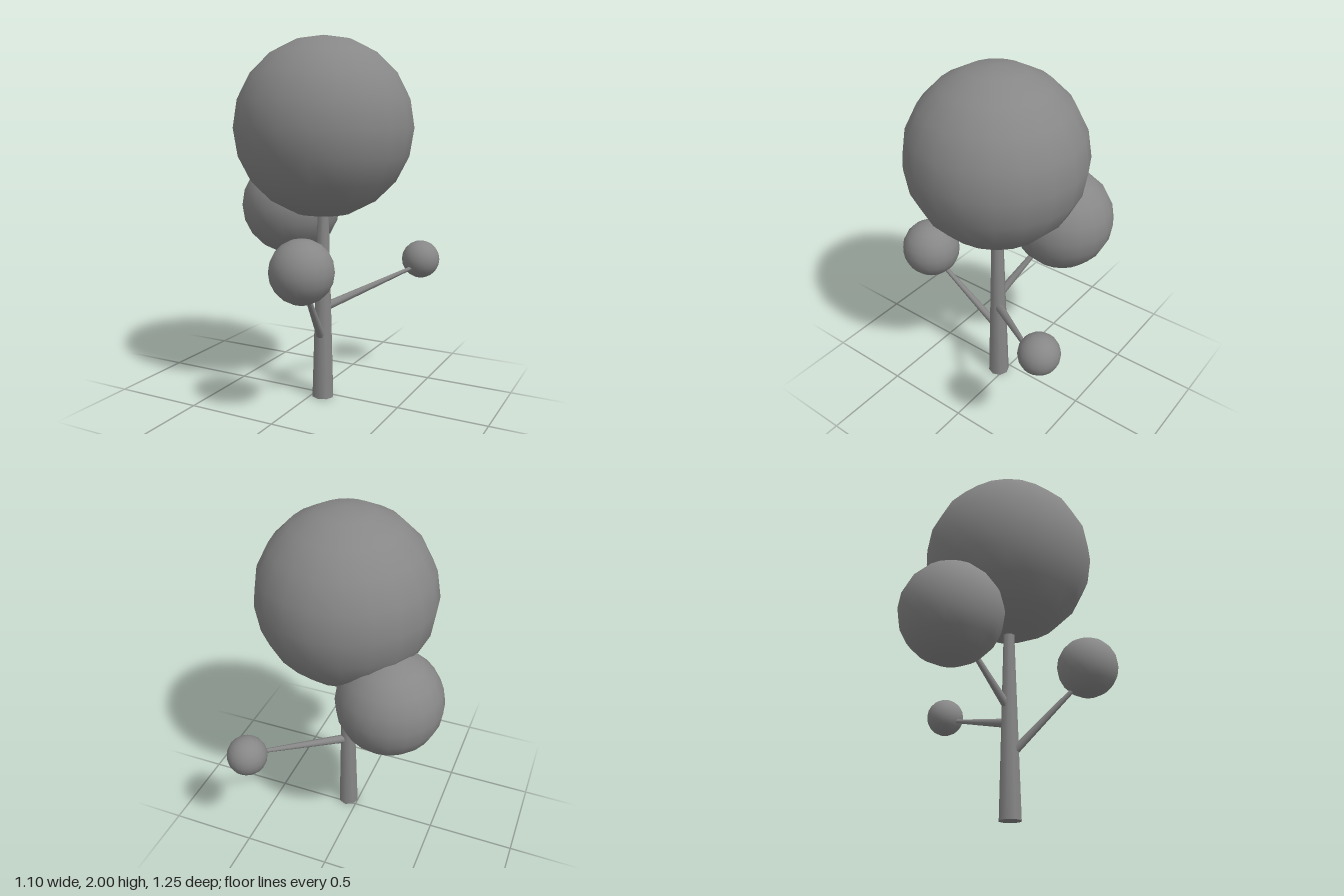
import * as THREE from 'three';

const material = new THREE.MeshStandardMaterial({ color: 0x878787 });
const vec = (p) => new THREE.Vector3(...p);

// Tapered limb running from one point to another
function limb(name, from, to, r0, r1) {
  const a = vec(from), b = vec(to);
  const dir = b.clone().sub(a);
  const mesh = new THREE.Mesh(new THREE.CylinderGeometry(r1, r0, dir.length(), 8), material);
  mesh.position.copy(a).add(b).multiplyScalar(0.5);
  mesh.quaternion.setFromUnitVectors(new THREE.Vector3(0, 1, 0), dir.normalize());
  mesh.name = name;
  return mesh;
}

// Round clump of leaves
function foliage(name, centre, radius) {
  const mesh = new THREE.Mesh(new THREE.SphereGeometry(radius, 20, 10), material);
  mesh.position.copy(vec(centre));
  mesh.name = name;
  return mesh;
}

export function createModel() {
  const tree = new THREE.Group();
  tree.name = 'tree';

  // Trunk and crown
  tree.add(limb('trunk', [0.061, 0, 0.037], [0.061, 1.4, 0.037], 0.062, 0.022));
  tree.add(foliage('crown', [0.061, 1.514, 0.035], 0.486));

  // Side branches, each ending in its own clump
  const branches = [
    { name: 'front', from: [0.055, 0.335, 0.04], to: [0.158, 0.775, 0.456], r0: 0.025, r1: 0.01, centre: [0.158, 0.814, 0.457], size: 0.167 },
    { name: 'back', from: [0.061, 0.515, 0.037], to: [0.45, 0.708, -0.487], r0: 0.026, r1: 0.009, centre: [0.432, 0.727, -0.515], size: 0.111 },
    { name: 'right', from: [0.061, 0.59, 0.037], to: [-0.25, 0.99, -0.15], r0: 0.026, r1: 0.01, centre: [-0.262, 1.056, -0.176], size: 0.29 },
  ];
  for (const b of branches) {
    tree.add(limb(b.name + 'Branch', b.from, b.to, b.r0, b.r1));
    tree.add(foliage(b.name + 'Foliage', b.centre, b.size));
  }
  return tree;
}
